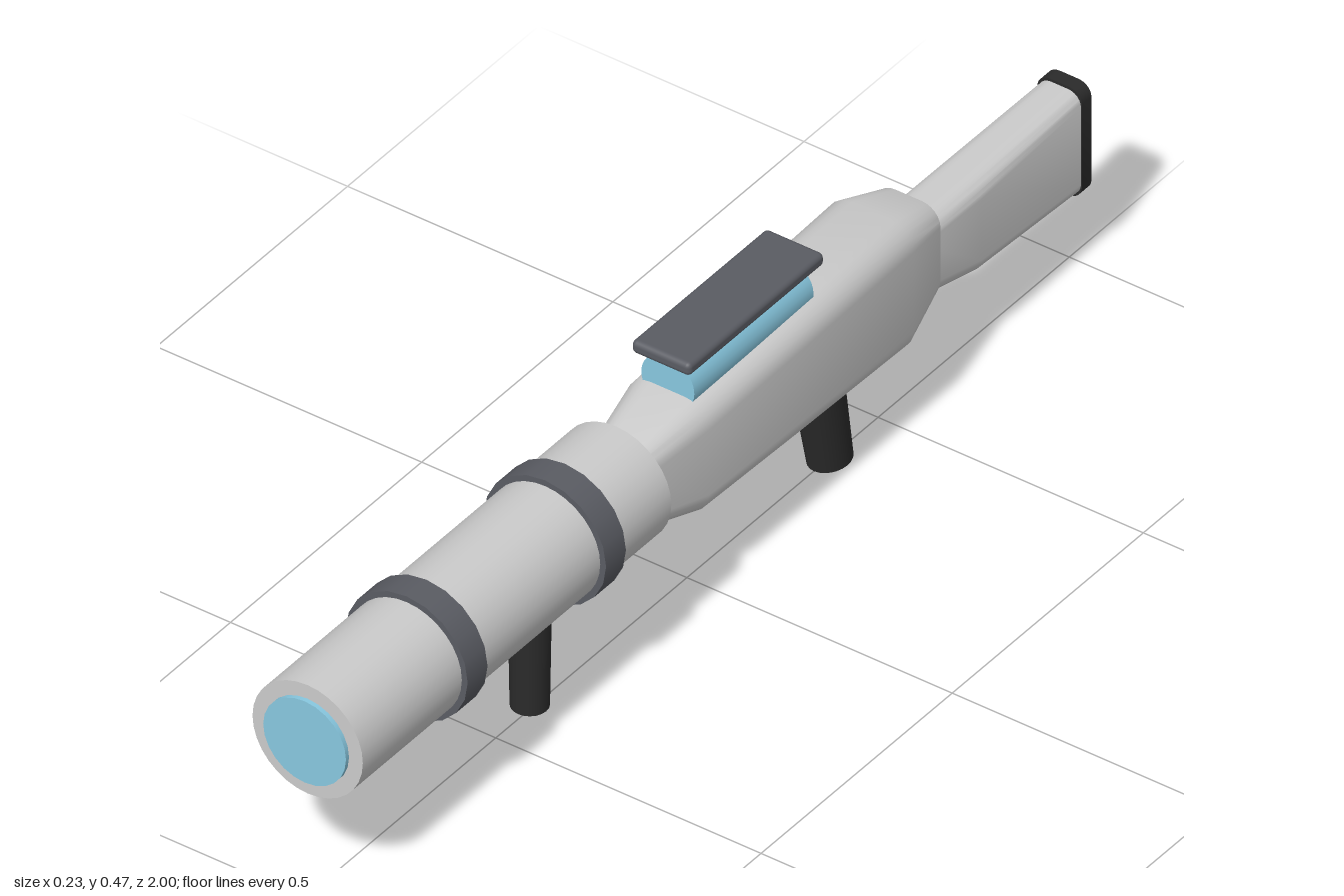
import * as THREE from 'three';
import { toCreasedNormals } from 'three/addons/utils/BufferGeometryUtils.js';
import { RoundedBoxGeometry } from 'three/addons/geometries/RoundedBoxGeometry.js';

const mat = (color) => new THREE.MeshStandardMaterial({ color });

// Skin rounded-rectangle sections [z, bottom, top, halfWidth, cornerRadius], listed front to back
function loft(sections, cornerSteps = 6) {
  const pos = [], index = [], n = 4 * (cornerSteps + 1);
  for (const [z, y0, y1, w, r] of sections) {
    for (let c = 0; c < 4; c++) {
      const cx = (c === 0 || c === 3 ? 1 : -1) * (w - r);
      const cy = c < 2 ? y1 - r : y0 + r;
      for (let i = 0; i <= cornerSteps; i++) {
        const a = (c + i / cornerSteps) * Math.PI / 2;
        pos.push(cx + r * Math.cos(a), cy + r * Math.sin(a), z);
      }
    }
  }
  const last = sections.length - 1;
  for (let s = 0; s < last; s++) {
    for (let i = 0; i < n; i++) {
      const a = s * n + i, b = s * n + (i + 1) % n;
      index.push(a, a + n, b, b, a + n, b + n);
    }
  }
  for (let i = 1; i < n - 1; i++) {
    index.push(0, i, i + 1);
    index.push(last * n, last * n + i + 1, last * n + i);
  }
  const g = new THREE.BufferGeometry();
  g.setAttribute('position', new THREE.Float32BufferAttribute(pos, 3));
  g.setIndex(index);
  return toCreasedNormals(g, 0.45);
}

export function createModel() {
  const group = new THREE.Group();
  const grey = mat(0xcccccc), dark = mat(0x5a5c63), black = mat(0x2b2b2b), blue = mat(0x88c8e0);

  const add = (name, geometry, material, x = 0, y = 0, z = 0) => {
    const mesh = new THREE.Mesh(geometry, material);
    mesh.name = name;
    mesh.position.set(x, y, z);
    group.add(mesh);
    return mesh;
  };
  // Cylinder lying along z
  const rod = (r, z0, z1, sides) =>
    new THREE.CylinderGeometry(r, r, z1 - z0, sides).rotateX(Math.PI / 2).translate(0, 0, (z0 + z1) / 2);

  // Barrel, glowing muzzle disc and clamp bands
  add('barrel', rod(0.104, 0.185, 0.992, 32), grey, 0, 0.3);
  add('muzzleLens', rod(0.078, 0.97, 1, 24), blue, 0, 0.3);
  for (const z of [0.345, 0.707]) add('barrelBand', rod(0.115, z - 0.026, z + 0.026, 20), dark, 0, 0.3);

  // Receiver body
  add('receiver', loft([
    [0.19, 0.215, 0.36, 0.052, 0.035],
    [0.05, 0.178, 0.392, 0.077, 0.045],
    [-0.2, 0.173, 0.4, 0.08, 0.045],
    [-0.48, 0.167, 0.409, 0.081, 0.045],
    [-0.58, 0.203, 0.377, 0.06, 0.035],
  ]), grey);

  // Shoulder stock with its butt pad and side inlay
  add('stock', loft([
    [-0.56, 0.205, 0.34, 0.049, 0.03],
    [-0.706, 0.168, 0.341, 0.047, 0.028],
    [-0.98, 0.147, 0.345, 0.04, 0.024],
  ]), grey);
  add('buttPad', loft([
    [-0.975, 0.143, 0.35, 0.042, 0.024],
    [-1, 0.143, 0.35, 0.042, 0.024],
  ]), black);
  const inlay = add('stockInlay', new RoundedBoxGeometry(0.016, 0.024, 0.33, 2, 0.006), blue, -0.042, 0.214, -0.725);
  inlay.rotation.y = 0.02;

  // Sight: blue tube under a flat cover
  add('sightTube', rod(0.05, -0.262, 0.05, 28), blue, 0, 0.405);
  add('sightCover', new RoundedBoxGeometry(0.111, 0.024, 0.355, 3, 0.009), dark, 0, 0.462, -0.107);

  // Front handle
  add('frontHandle', new THREE.CylinderGeometry(0.034, 0.031, 0.2, 20), black, 0, 0.11, 0.411);

  // Rear grip: oval column leaning back toward its foot
  const grip = new THREE.CylinderGeometry(0.038, 0.033, 0.2, 24);
  const p = grip.attributes.position;
  for (let i = 0; i < p.count; i++) {
    const y = p.getY(i) + 0.1;
    p.setXYZ(i, p.getX(i), y, p.getZ(i) * 1.27 - 0.374 + y * 0.19);
  }
  grip.computeVertexNormals();
  add('rearGrip', toCreasedNormals(grip, 0.7), black);

  // Trigger guard
  const guard = new THREE.CurvePath();
  const pts = [[0.19, -0.175], [0.127, -0.175], [0.119, -0.183], [0.119, -0.32]]
    .map(([y, z]) => new THREE.Vector3(0, y, z));
  for (let i = 0; i < pts.length - 1; i++) guard.add(new THREE.LineCurve3(pts[i], pts[i + 1]));
  add('triggerGuard', new THREE.TubeGeometry(guard, 40, 0.005, 8), black);

  return group;
}
